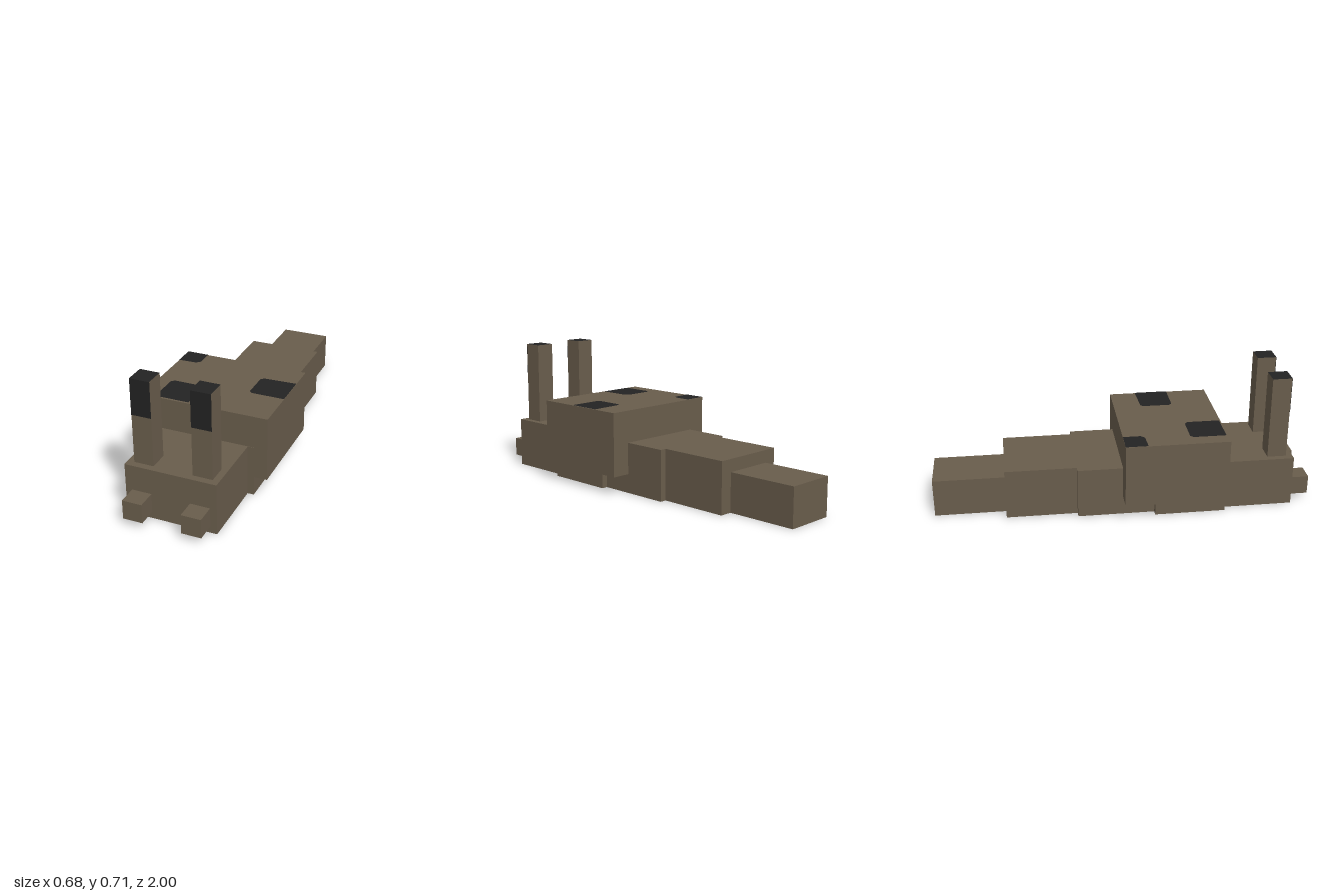
import * as THREE from 'three';

export function createModel() {
  const root = new THREE.Group();
  const brown = new THREE.MeshStandardMaterial({ color: 0x695d4c });
  brown.name = 'brown skin';
  const black = new THREE.MeshStandardMaterial({ color: 0x232323 });
  black.name = 'black markings';

  // Box given by its extents on each axis
  function box(name, [x0, x1], [y0, y1], [z0, z1], material = brown) {
    const mesh = new THREE.Mesh(new THREE.BoxGeometry(x1 - x0, y1 - y0, z1 - z0), material);
    mesh.position.set((x0 + x1) / 2, (y0 + y1) / 2, (z0 + z1) / 2);
    mesh.name = name;
    root.add(mesh);
    return mesh;
  }

  // Body segments from head to tail
  box('head', [-0.237, 0.237], [0, 0.27], [0.53, 0.9]);
  box('frontBody', [-0.27, 0.27], [0, 0.27], [0.155, 0.53]);
  box('middleBody', [-0.237, 0.237], [0, 0.27], [-0.25, 0.155]);
  box('rearBody', [-0.202, 0.202], [0, 0.27], [-0.625, -0.25]);
  box('tail', [-0.135, 0.135], [0, 0.204], [-1, -0.625]);
  box('shell', [-0.338, 0.338], [0.102, 0.44], [-0.012, 0.528]);

  // Eye stalks with black tops, and mouth feelers
  for (const [side, s] of [['left', 1], ['right', -1]]) {
    const x = s > 0 ? [0.101, 0.203] : [-0.203, -0.101];
    const z = [0.764, 0.865];
    const stalk = box(side + 'EyeStalk', x, [0.27, 0.713], z);
    stalk.material = [brown, brown, black, brown, brown, brown];
    box(side + 'Eye', x, [0.525, 0.713], [0.865, 0.867], black);
    box(side + 'Feeler', x, [0.035, 0.136], [0.9, 1]);
    // Dark marking beneath the shell rim
    const rim = s > 0 ? [0.265, 0.3] : [-0.3, -0.265];
    box(side + 'RimMarkFront', rim, [0.1, 0.102], [0.33, 0.5], black);
    box(side + 'RimMarkRear', rim, [0.1, 0.102], [0.11, 0.3], black);
  }

  // Shell spots: flat outlines in x and z, with clipped corners
  const spots = [
    [[-0.338, -0.012], [-0.22, -0.012], [-0.22, 0.08], [-0.24, 0.1], [-0.338, 0.104]],
    [[0.165, 0.135], [0.338, 0.128], [0.338, 0.308], [0.165, 0.308], [0.15, 0.293], [0.15, 0.15]],
    [[-0.25, 0.333], [-0.1, 0.333], [-0.083, 0.35], [-0.083, 0.52], [-0.265, 0.52], [-0.265, 0.35]],
  ];
  spots.forEach((points, i) => {
    const shape = new THREE.Shape(points.map(([x, z]) => new THREE.Vector2(x, -z)));
    const spot = new THREE.Mesh(new THREE.ShapeGeometry(shape).rotateX(-Math.PI / 2), black);
    spot.position.y = 0.442;
    spot.name = 'shellSpot' + (i + 1);
    root.add(spot);
  });

  return root;
}
